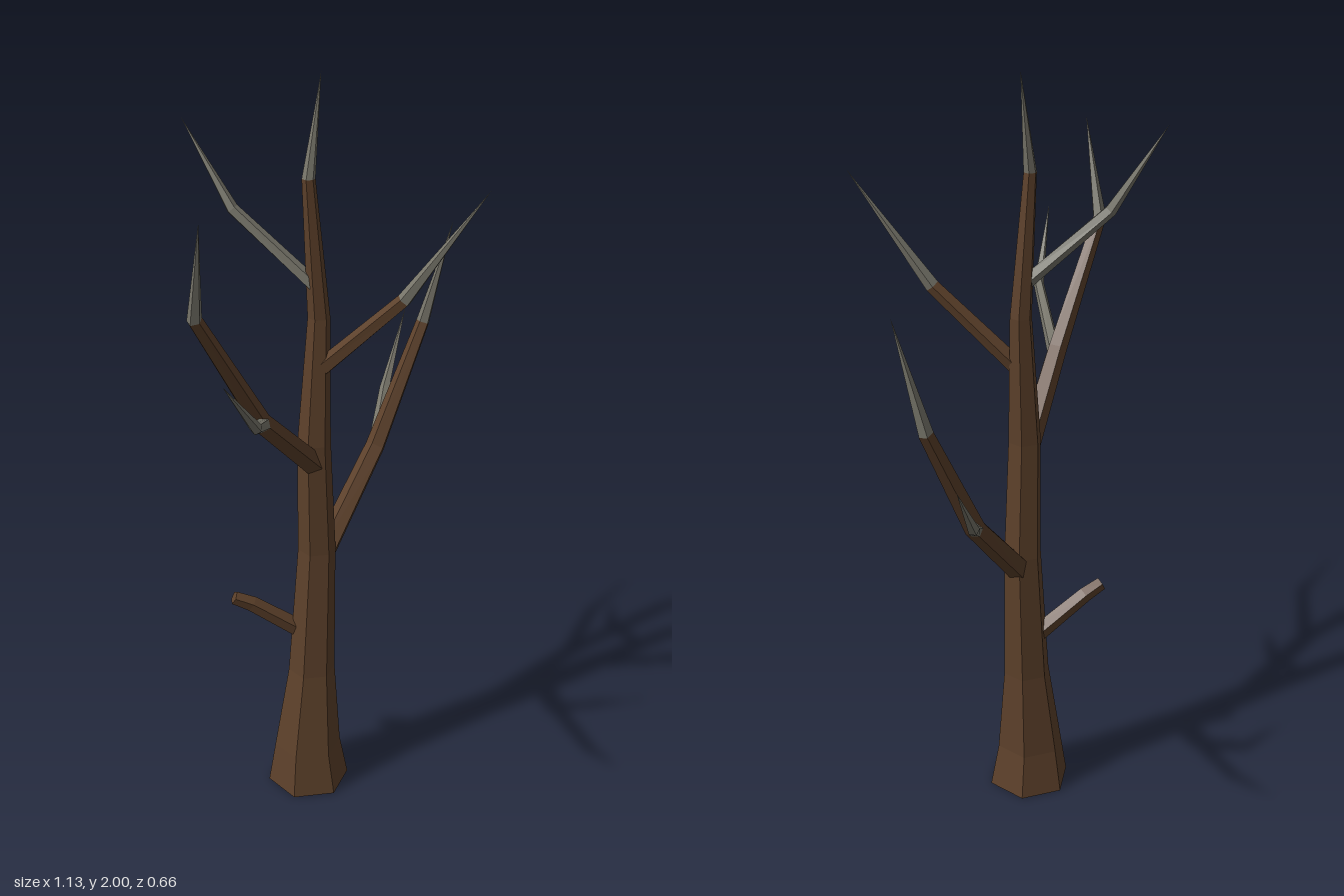
import * as THREE from 'three';

const bark = new THREE.MeshStandardMaterial({ color: 0x5c402a, flatShading: true, side: THREE.DoubleSide });
bark.name = 'brown bark';
const twig = new THREE.MeshStandardMaterial({ color: 0x77756a, flatShading: true, side: THREE.DoubleSide });
twig.name = 'grey twig';

// One ring of points per [x, y, z, radius]; upright rings stay horizontal.
function makeRings(points, sides, upright) {
  const centres = points.map(([x, y, z]) => new THREE.Vector3(x, y, z));
  return centres.map((c, k) => {
    const t = new THREE.Vector3(0, 1, 0);
    if (!upright) {
      const next = centres[Math.min(k + 1, centres.length - 1)];
      t.subVectors(next, centres[Math.max(k - 1, 0)]).normalize();
    }
    const u = new THREE.Vector3(0, 0, 1).addScaledVector(t, -t.z).normalize();
    const v = new THREE.Vector3().crossVectors(t, u);
    return Array.from({ length: sides }, (_, i) => {
      const a = (i / sides) * Math.PI * 2;
      return c.clone()
        .addScaledVector(u, Math.cos(a) * points[k][3])
        .addScaledVector(v, Math.sin(a) * points[k][3]);
    });
  });
}

// Faceted skin between successive rings; a zero last radius makes a point.
function skin(rings, pointed, capped) {
  const pos = [];
  const tri = (...p) => p.forEach((q) => pos.push(q.x, q.y, q.z));
  const n = rings[0].length;
  const last = rings.length - 1;
  for (let k = 0; k < last; k++) {
    for (let i = 0; i < n; i++) {
      const j = (i + 1) % n;
      tri(rings[k][i], rings[k][j], rings[k + 1][j]);
      if (!(pointed && k === last - 1)) tri(rings[k][i], rings[k + 1][j], rings[k + 1][i]);
    }
  }
  if (capped) for (let i = 1; i < n - 1; i++) tri(rings[last][0], rings[last][i], rings[last][i + 1]);
  const g = new THREE.BufferGeometry();
  g.setAttribute('position', new THREE.Float32BufferAttribute(pos, 3));
  g.computeVertexNormals();
  return g;
}

// A limb: the first barkCount segments are bark, the rest bare twig.
function limb(name, points, sides, barkCount, upright = false) {
  const group = new THREE.Group();
  group.name = name;
  const rings = makeRings(points, sides, upright);
  const pointed = points[points.length - 1][3] === 0;
  const add = (part, from, to, material) => {
    const end = to === rings.length - 1;
    const mesh = new THREE.Mesh(skin(rings.slice(from, to + 1), end && pointed, end && !pointed), material);
    mesh.name = name + part;
    group.add(mesh);
  };
  if (barkCount > 0) add('Bark', 0, barkCount, bark);
  if (barkCount < rings.length - 1) add('Tip', barkCount, rings.length - 1, twig);
  return group;
}

export function createModel() {
  const tree = new THREE.Group();
  tree.name = 'bareTree';

  // Trunk, flared at the foot and open underneath
  tree.add(limb('trunk', [
    [-0.033, 0, -0.047, 0.113], [-0.035, 0.12, -0.047, 0.092], [-0.018, 0.36, -0.048, 0.064],
    [0.003, 0.73, -0.05, 0.051], [-0.008, 1.05, -0.046, 0.044], [0.011, 1.39, -0.048, 0.029],
    [-0.016, 1.75, -0.053, 0.017], [0.03, 2, -0.06, 0],
  ], 6, 6, true));

  // Large side branches, each with a forked twig
  tree.add(limb('leftBranch', [
    [0.01, 0.68, -0.05, 0.034], [0.265, 0.93, -0.113, 0.028],
    [0.447, 1.245, -0.13, 0.019], [0.503, 1.53, -0.083, 0],
  ], 5, 2));
  tree.add(limb('leftTwig', [
    [0.255, 0.915, -0.11, 0.019], [0.41, 1.02, -0.24, 0.015], [0.565, 1.2, -0.33, 0],
  ], 5, 0));
  tree.add(limb('rightBranch', [
    [-0.01, 0.985, -0.04, 0.032], [-0.25, 1.21, 0.045, 0.027],
    [-0.443, 1.525, 0.06, 0.019], [-0.475, 1.78, 0.135, 0],
  ], 5, 2));
  tree.add(limb('rightTwig', [
    [-0.24, 1.2, 0.045, 0.019], [-0.41, 1.31, 0.24, 0.015], [-0.565, 1.485, 0.33, 0],
  ], 5, 0));

  // Upper branches
  tree.add(limb('frontBranch', [
    [0.005, 1.25, -0.04, 0.024], [0.127, 1.46, 0.14, 0.019], [0.25, 1.75, 0.3, 0],
  ], 5, 1));
  tree.add(limb('backTwig', [
    [0, 1.475, -0.05, 0.019], [-0.13, 1.66, -0.21, 0.016], [-0.19, 1.875, -0.33, 0],
  ], 5, 0));

  // Broken stub low on the trunk
  tree.add(limb('stub', [
    [-0.03, 0.475, -0.07, 0.026], [-0.15, 0.573, -0.142, 0.022], [-0.192, 0.597, -0.165, 0.019],
  ], 5, 2));

  return tree;
}
